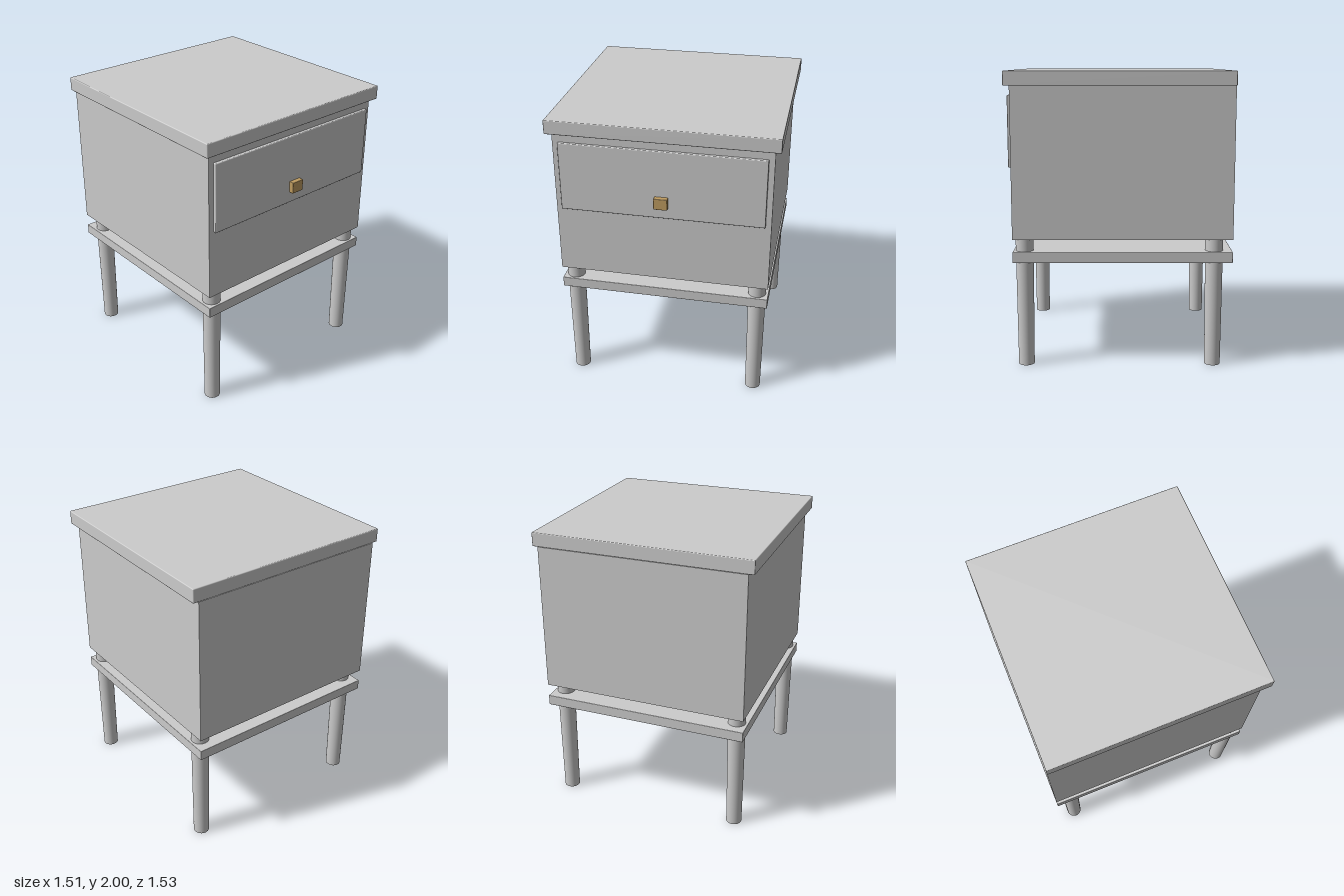
import * as THREE from 'three';
import { RoundedBoxGeometry } from 'three/addons/geometries/RoundedBoxGeometry.js';

const paint = new THREE.MeshStandardMaterial({ color: 0xcccccc });
paint.name = 'greyPaint';
const brass = new THREE.MeshStandardMaterial({ color: 0xbf9c60 });
brass.name = 'brass';

export function createModel() {
  const model = new THREE.Group();
  model.name = 'bedsideTable';

  // Box symmetric in x, given its half width, y range, z range and edge radius
  function slab(name, halfX, y0, y1, z0, z1, radius, material = paint) {
    const size = [halfX * 2, y1 - y0, z1 - z0];
    const geometry = radius
      ? new RoundedBoxGeometry(...size, 2, radius)
      : new THREE.BoxGeometry(...size);
    const mesh = new THREE.Mesh(geometry, material);
    mesh.name = name;
    mesh.position.set(0, (y0 + y1) / 2, (z0 + z1) / 2);
    model.add(mesh);
  }

  // Cabinet: flush at the back, top overhanging the front and sides
  slab('tableTop', 0.757, 1.905, 2.0, -0.765, 0.747, 0.006);
  slab('cabinetBody', 0.718, 0.886, 1.905, -0.765, 0.71, 0);
  slab('lowerShelf', 0.718, 0.728, 0.8, -0.765, 0.71, 0.003);

  // Drawer front and its pull
  slab('drawerFront', 0.68, 1.365, 1.843, 0.69, 0.731, 0.006);
  slab('drawerKnob', 0.046, 1.444, 1.522, 0.725, 0.765, 0.004, brass);

  // Four tapered round legs running through the shelf
  const legHeight = 0.89;
  const legGeometry = new THREE.CylinderGeometry(0.061, 0.054, legHeight, 32);
  for (const [side, x] of [['Left', 0.64], ['Right', -0.64]]) {
    for (const [end, z] of [['front', 0.635], ['back', -0.646]]) {
      const leg = new THREE.Mesh(legGeometry, paint);
      leg.name = `${end}${side}Leg`;
      leg.position.set(x, legHeight / 2, z);
      model.add(leg);
    }
  }
  return model;
}
